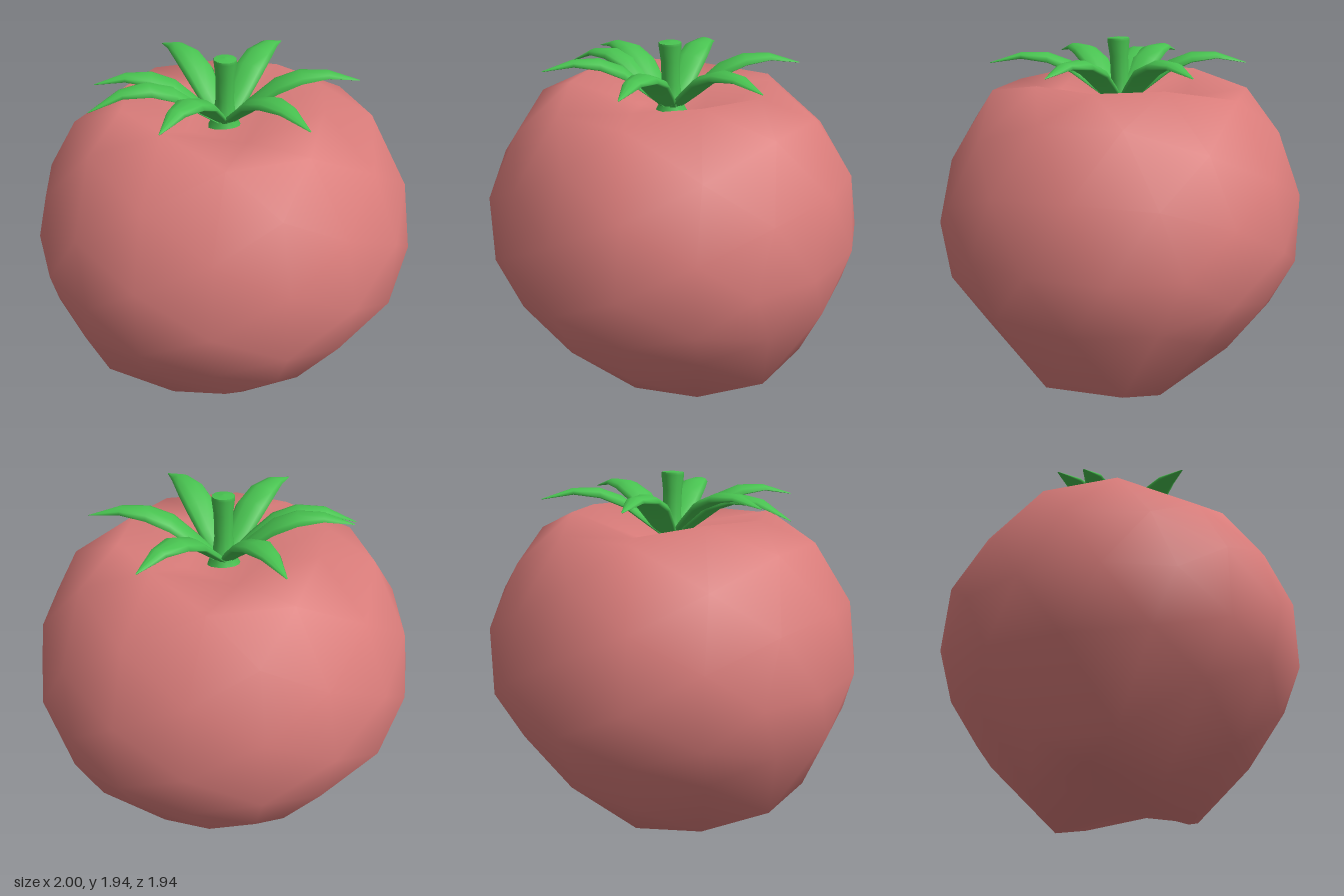
import * as THREE from 'three';
import { mergeVertices } from 'three/addons/utils/BufferGeometryUtils.js';

const red = new THREE.MeshStandardMaterial({ color: 0xd97c7a });
const green = new THREE.MeshStandardMaterial({ color: 0x48c250 });

function addMesh(parent, name, geometry, material) {
  const mesh = new THREE.Mesh(geometry, material);
  mesh.name = name;
  parent.add(mesh);
  return mesh;
}

// Height of each level of the unit sphere: dented at the top, cleft at the bottom
const LEVELS = [
  [0.98, 1.57], [0.934, 1.64], [0.855, 1.735], [0.851, 1.73], [0.73, 1.67],
  [0.653, 1.61], [0.526, 1.48], [0.357, 1.31], [0.326, 1.28], [0.2, 1.15],
  [0, 0.96], [-0.2, 0.78], [-0.326, 0.68], [-0.357, 0.66], [-0.526, 0.52],
  [-0.653, 0.26], [-0.73, 0.32], [-0.851, 0.18], [-0.855, 0.1],
  [-0.934, 0], [-0.98, 0.15],
];

function fruitGeometry() {
  let geo = new THREE.IcosahedronGeometry(1, 2);
  geo.deleteAttribute('uv');
  geo.deleteAttribute('normal');
  geo = mergeVertices(geo, 1e-3);
  const p = geo.attributes.position;
  for (let i = 0; i < p.count; i++) {
    const y = p.getY(i);
    const level = LEVELS.reduce((a, b) => (Math.abs(b[0] - y) < Math.abs(a[0] - y) ? b : a));
    p.setXYZ(i, p.getX(i) * 1.02, level[1], p.getZ(i) * 0.99);
  }
  geo.computeVertexNormals();
  return geo;
}

// Leaf stations: [share of length, height, half width, half thickness]
const STATIONS = [
  [0.03, 1.59, 0.04, 0.03], [0.2, 1.68, 0.07, 0.04], [0.38, 1.775, 0.088, 0.045],
  [0.56, 1.825, 0.08, 0.04], [0.76, 1.84, 0.05, 0.025], [1, 1.81, 0.003, 0.003],
];

// Arched leaf along +x, lofted from oval sections with a flatter underside
function leafGeometry(length, droop) {
  const sides = 10, pos = [], index = [];
  STATIONS.forEach(([t, y, w, h], i) => {
    for (let j = 0; j < sides; j++) {
      const a = (j / sides) * Math.PI * 2, s = Math.sin(a);
      pos.push(t * length, y - droop * t ** 3 + s * h * (s < 0 ? 0.3 : 1), Math.cos(a) * w);
      if (i === STATIONS.length - 1) continue;
      const A = i * sides + j, C = i * sides + ((j + 1) % sides);
      index.push(A, A + sides, C, C, A + sides, C + sides);
    }
  });
  const geo = new THREE.BufferGeometry();
  geo.setAttribute('position', new THREE.Float32BufferAttribute(pos, 3));
  geo.setIndex(index);
  geo.computeVertexNormals();
  return geo;
}

// Leaf tips: [x, z, droop]
const TIPS = [
  [-0.16, -0.64, 0], [0.49, -0.47, 0], [0.66, 0.19, 0], [0.19, 0.66, 0],
  [-0.46, 0.48, 0], [-0.7, 0, 0.07], [-0.63, -0.17, 0],
];

export function createModel() {
  const model = new THREE.Group();
  model.name = 'tomato';
  addMesh(model, 'fruit', fruitGeometry(), red);

  // Star of leaves
  const calyx = new THREE.Group();
  calyx.name = 'calyx';
  model.add(calyx);
  TIPS.forEach(([x, z, droop], i) => {
    const leaf = addMesh(calyx, `leaf${i + 1}`, leafGeometry(Math.hypot(x, z), droop), green);
    leaf.rotation.y = -Math.atan2(z, x);
  });

  // Stem, flared at both ends and leaning slightly forward
  const profile = [[0.09, 0], [0.06, 0.06], [0.048, 0.16], [0.05, 0.28], [0.06, 0.36],
    [0.058, 0.373], [0.058, 0.373], [0, 0.38]].map(([r, y]) => new THREE.Vector2(r, y));
  const stem = addMesh(model, 'stem', new THREE.LatheGeometry(profile, 12), green);
  stem.position.set(0, 1.565, 0);
  stem.rotation.x = 0.035;
  return model;
}
